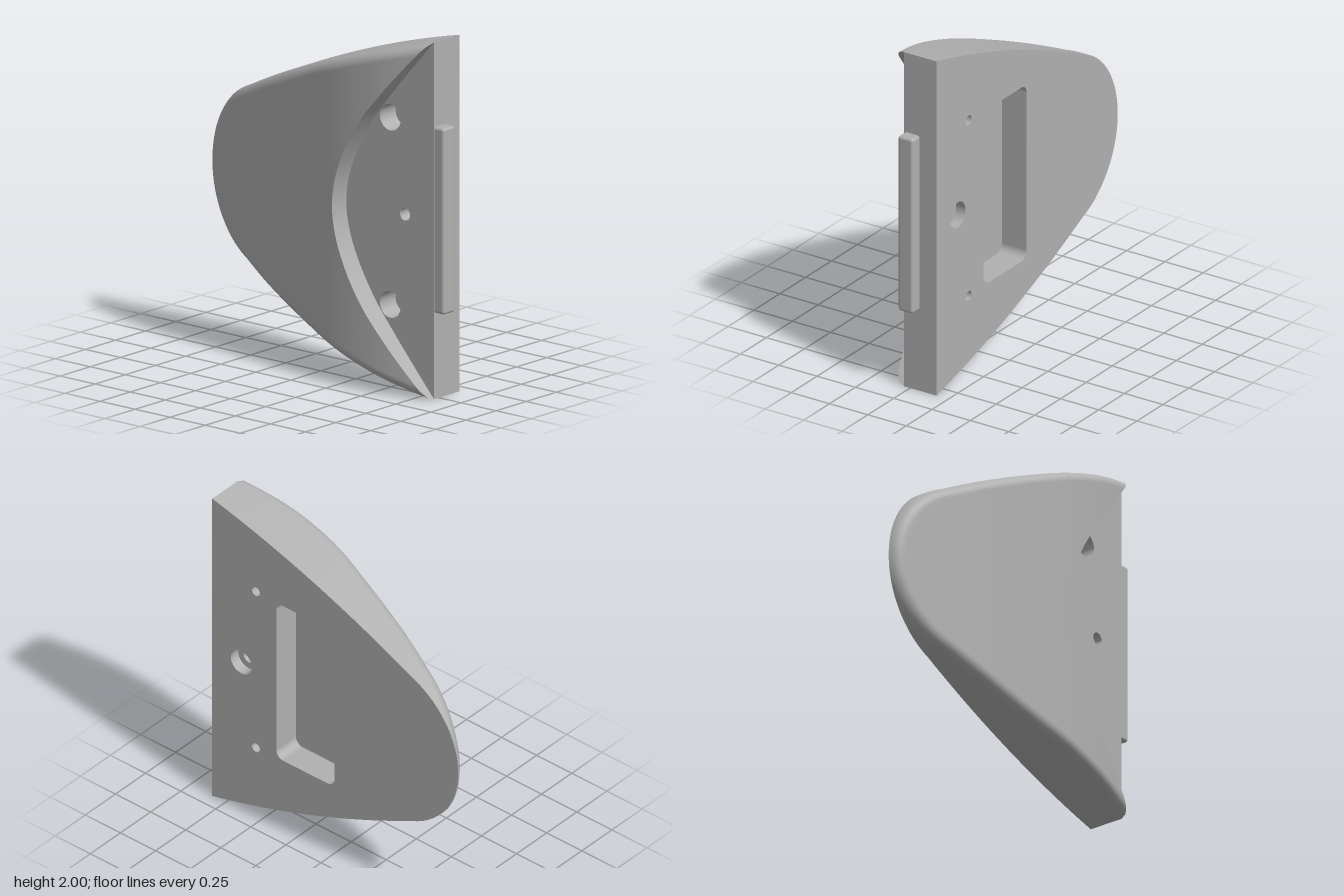
import * as THREE from 'three';
import { RoundedBoxGeometry } from 'three/addons/geometries/RoundedBoxGeometry.js';

const V2 = (x, y) => new THREE.Vector2(x, y);
const BACK = -0.172, FLOOR = 0.04, EDGE = 0.842, FILLET = 0.058;

// Surface swept over (i, j) steps by a rule returning [x, y, z]
function grid(nu, nv, f) {
  const pos = [], idx = [];
  for (let i = 0; i <= nu; i++) for (let j = 0; j <= nv; j++) pos.push(...f(i, j));
  for (let i = 0; i < nu; i++) for (let j = 0; j < nv; j++) {
    const a = i * (nv + 1) + j, b = a + nv + 1;
    idx.push(a, b, a + 1, b, b + 1, a + 1);
  }
  const g = new THREE.BufferGeometry();
  g.setAttribute('position', new THREE.Float32BufferAttribute(pos, 3));
  g.setIndex(idx);
  g.computeVertexNormals();
  return g;
}

// Straight wall along a 2D path between two depths
const wall = (pts, z0, z1) =>
  grid(pts.length - 1, 1, (i, j) => [pts[i].x, pts[i].y, j ? z1 : z0]);

const circle = (x, y, r, n = 32) => Array.from({ length: n + 1 }, (_, i) => {
  const a = i / n * Math.PI * 2;
  return V2(x + r * Math.cos(a), y + r * Math.sin(a));
});

function roundedRect(x0, y0, x1, y1, r) {
  const s = new THREE.Shape();
  s.absarc(x1 - r, y1 - r, r, 0, Math.PI / 2);
  s.absarc(x0 + r, y1 - r, r, Math.PI / 2, Math.PI);
  s.absarc(x0 + r, y0 + r, r, Math.PI, Math.PI * 1.5);
  s.absarc(x1 - r, y0 + r, r, Math.PI * 1.5, Math.PI * 2);
  s.closePath();
  return s.getPoints(8);
}

// Flat face with holes at depth z, facing front or back
function face(pts, holes, z, toBack) {
  const s = new THREE.Shape(pts);
  for (const h of holes) s.holes.push(new THREE.Path(h));
  const g = new THREE.ShapeGeometry(s).translate(0, 0, z);
  if (toBack) {
    const ix = g.index.array;
    for (let i = 0; i < ix.length; i += 3) [ix[i], ix[i + 1]] = [ix[i + 1], ix[i]];
    g.computeVertexNormals();
  }
  return g;
}

export function createModel() {
  const model = new THREE.Group();
  const grey = new THREE.MeshStandardMaterial({ color: 0xb0b0b0, side: THREE.DoubleSide });
  grey.name = 'plain grey';
  const add = (name, g) => {
    const m = new THREE.Mesh(g, grey);
    m.name = name;
    model.add(m);
  };

  // Outline from upper corner round the nose to the lower corner
  const half = new THREE.QuadraticBezierCurve(V2(EDGE, 2), V2(0.135, 1.834), V2(-0.57, 1.488)).getPoints(40);
  const a0 = Math.acos(-0.18 / 0.52);
  for (let i = 1; i <= 24; i++) {
    const a = a0 + (Math.PI - a0) * i / 24;
    half.push(V2(-0.39 + 0.52 * Math.cos(a), 1 + 0.52 * Math.sin(a)));
  }
  const flip = p => V2(p.x, 2 - p.y);
  const outline = [...half, ...half.slice(0, -1).reverse().map(flip)];
  const N = outline.length - 1;

  // Curved edge of the recess
  const cutHalf = [[EDGE, 2], [0.68, 1.82], [0.55, 1.67], [0.42, 1.51], [0.31, 1.33], [0.24, 1.16]].map(p => V2(...p));
  const cut = new THREE.SplineCurve([...cutHalf, V2(0.216, 1), ...cutHalf.slice().reverse().map(flip)]).getSpacedPoints(N);

  // Crown height along x, falling away in a fillet at the outline
  const crown = new THREE.SplineCurve([[-0.92, -0.13], [-0.6, -0.03], [-0.34, 0.045], [0, 0.118],
    [0.2, 0.157], [0.4, 0.168], [0.6, 0.152], [0.85, 0.098]].map(p => V2(...p))).getPoints(140);
  const crownAt = x => {
    const k = Math.max(1, crown.findIndex(p => p.x >= x));
    const a = crown[k - 1], b = crown[k];
    return a.y + (b.y - a.y) * (x - a.x) / (b.x - a.x);
  };
  const seg = new THREE.Line3(), near = new THREE.Vector3(), q = new THREE.Vector3();
  const edgeDistance = p => {
    let d = Infinity;
    q.set(p.x, p.y, 0);
    for (let i = 0; i < N; i++) {
      seg.start.set(outline[i].x, outline[i].y, 0);
      seg.end.set(outline[i + 1].x, outline[i + 1].y, 0);
      seg.closestPointToPoint(q, true, near);
      d = Math.min(d, near.distanceTo(q));
    }
    return d;
  };
  const height = p => {
    const e = Math.max(0, FILLET - edgeDistance(p));
    const drop = FILLET - Math.sqrt(Math.max(0, FILLET * FILLET - e * e));
    return Math.max(BACK, crownAt(p.x) - drop);
  };

  // Crown, side wall and recess wall
  const M = 28;
  add('crown', grid(N, M, (i, j) => {
    const p = outline[i].clone().lerp(cut[i], (j / M) ** 2);
    return [p.x, p.y, height(p)];
  }));
  add('sideWall', grid(N, 1, (i, j) => [outline[i].x, outline[i].y, j ? height(outline[i]) : BACK]));
  add('recessWall', grid(N, 1, (i, j) => [cut[i].x, cut[i].y, j ? FLOOR : Math.max(FLOOR, height(cut[i]))]));
  add('straightEdge', wall([V2(EDGE, 0), V2(EDGE, 2)], BACK, FLOOR));

  // Bores: wide end at the front for the screws, at the back for the middle
  const frontWide = [], backWide = [], floorHoles = [], backHoles = [];
  const bore = (name, x, y, rWide, rThin, step, wideFront) => {
    const wide = circle(x, y, rWide), thin = circle(x, y, rThin, 16);
    const [f, b] = wideFront ? [wide, thin] : [thin, wide];
    floorHoles.push(f);
    backHoles.push(b);
    add(name + 'FrontBore', wall(f, FLOOR, step));
    add(name + 'BackBore', wall(b, step, BACK));
    add(name + 'Step', face(wide, [thin], step, !wideFront));
  };
  bore('upperScrew', 0.53, 1.525, 0.074, 0.029, -0.09, true);
  bore('lowerScrew', 0.53, 0.475, 0.074, 0.029, -0.09, true);
  bore('middle', 0.635, 1, 0.075, 0.036, -0.11, false);

  // Pocket in the back
  const pocket = roundedRect(-0.03, 0.48, 0.385, 1.52, 0.05);
  add('pocketWall', wall(pocket, -0.01, BACK));
  add('pocketFloor', face(pocket, [], -0.01, true));

  add('recessFloor', face(cut, floorHoles, FLOOR, false));
  add('backFace', face(outline, [...backHoles, pocket], BACK, true));

  // Tab on the straight edge
  add('edgeTab', new RoundedBoxGeometry(0.1, 1.044, 0.098, 4, 0.016).translate(0.858, 1.003, -0.012));
  return model;
}
